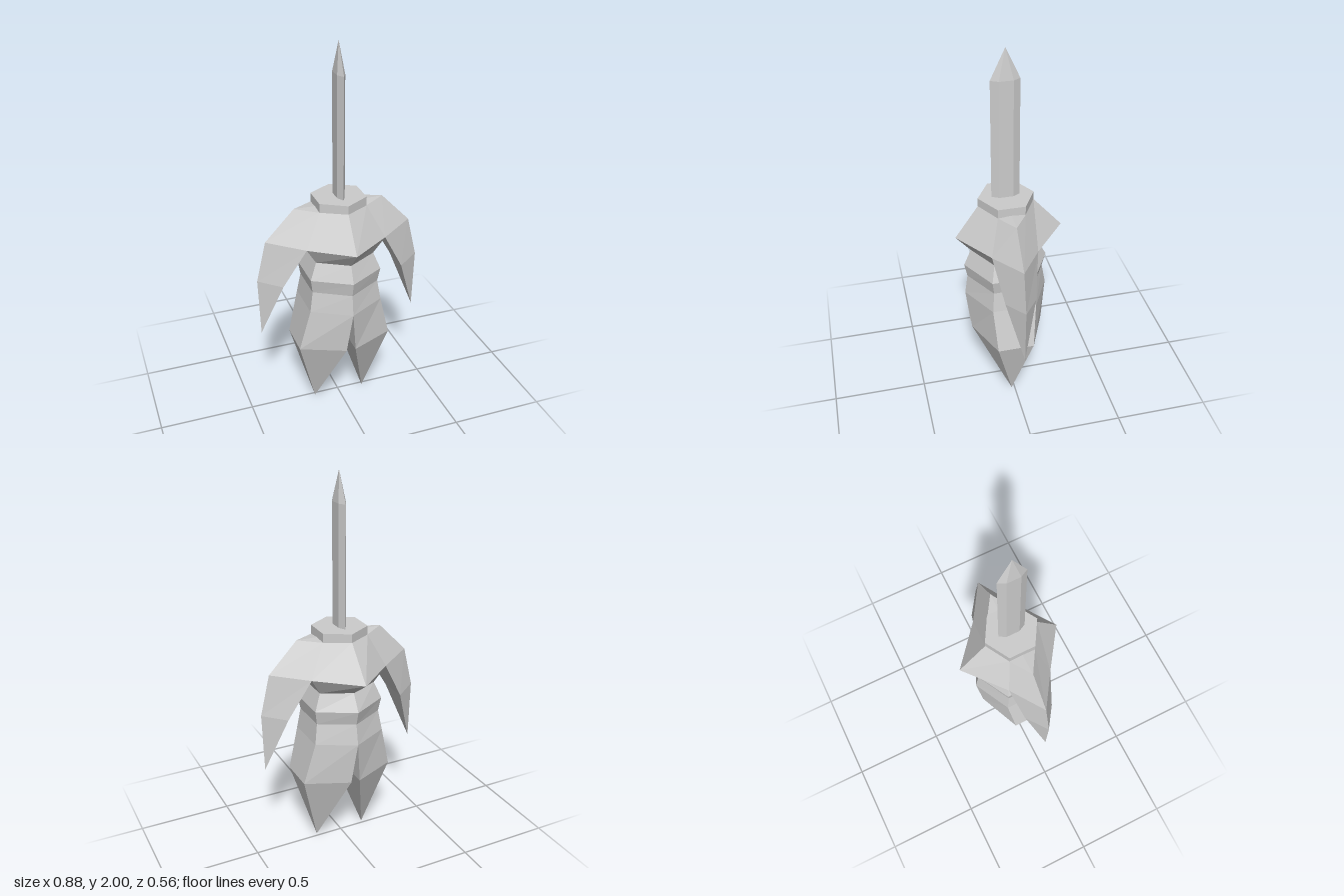
import * as THREE from 'three';

const MID = 0.017; // z of the model's side ridges

// Skin rings of [x, y, z] from bottom to top, each counterclockwise seen from above.
function loft(rings, material, name, lid = false) {
  const pos = [];
  const v = (p) => new THREE.Vector3(...p);
  const tri = (a, b, c) => {
    const area = v(b).sub(v(a)).cross(v(c).sub(v(a))).length();
    if (area > 1e-7) pos.push(...a, ...b, ...c);
  };
  for (let r = 0; r + 1 < rings.length; r++) {
    const lo = rings[r], hi = rings[r + 1];
    const n = Math.max(lo.length, hi.length);
    for (let i = 0; i < n; i++) {
      const j = (i + 1) % n;
      const a = lo[i % lo.length], b = lo[j % lo.length];
      const c = hi[j % hi.length], d = hi[i % hi.length];
      tri(a, b, c);
      tri(a, c, d);
    }
  }
  if (lid) {
    const top = rings[rings.length - 1], n = top.length;
    const mid = [0, 1, 2].map((k) => top.reduce((s, p) => s + p[k], 0) / n);
    top.forEach((p, i) => tri(p, top[(i + 1) % n], mid));
  }
  const geometry = new THREE.BufferGeometry();
  geometry.setAttribute('position', new THREE.Float32BufferAttribute(pos, 3));
  geometry.computeVertexNormals();
  const mesh = new THREE.Mesh(geometry, material);
  mesh.name = name;
  return mesh;
}

// Mirror a ring across x = 0, keeping its winding.
const flip = (ring) => ring.map(([x, y, z]) => [-x, y, z]).reverse();

// Half section on the +x side: front point, side edge pair, back point.
const half = (y, x, front, sideFront, sideBack, back, inner = 0) =>
  [[inner, y, front], [x, y, sideFront], [x, y, sideBack], [inner, y, back]];

// Full six-sided section.
const hex = (y, x, front, sideFront, sideBack, back) =>
  [...half(y, x, front, sideFront, sideBack, back), [-x, y, sideBack], [-x, y, sideFront]];

export function createModel() {
  const group = new THREE.Group();
  const grey = new THREE.MeshStandardMaterial({ color: 0xcccccc });
  grey.name = 'grey';

  // Waist, narrowing and swelling under the chest
  group.add(loft([
    hex(0.635, 0.195, 0.24, 0.13, -0.1, -0.2),
    hex(0.745, 0.178, 0.225, 0.12, -0.085, -0.18),
    hex(0.82, 0.19, 0.24, 0.13, -0.095, -0.2),
    hex(0.91, 0.155, 0.203, 0.112, -0.075, -0.15),
    hex(1.0, 0.21, 0.28, 0.135, -0.1, -0.277),
  ], grey, 'waist'));

  // Chest and shoulders
  group.add(loft([
    [[0, 1.0, 0.28], [0.21, 1.0, 0.135], [0.39, 1.02, MID], [0.21, 1.0, -0.1],
      [0, 1.0, -0.277], [-0.21, 1.0, -0.1], [-0.39, 1.02, MID], [-0.21, 1.0, 0.135]],
    [[0, 1.175, 0.16], [0.125, 1.172, 0.085], [0.237, 1.18, MID], [0.125, 1.172, -0.055],
      [0, 1.175, -0.127], [-0.125, 1.172, -0.055], [-0.237, 1.18, MID], [-0.125, 1.172, 0.085]],
  ], grey, 'chest', true));

  // Collar plate
  group.add(loft([
    hex(1.17, 0.125, 0.16, 0.085, -0.055, -0.127),
    hex(1.22, 0.125, 0.16, 0.085, -0.055, -0.127),
  ], grey, 'collar', true));

  // Blade rising from the collar
  group.add(loft([
    hex(1.17, 0.02, 0.09, 0.052, -0.018, -0.054),
    hex(1.845, 0.02, 0.09, 0.052, -0.018, -0.054),
    [[0, 2, MID]],
  ], grey, 'blade'));

  // Pointed arms and legs, mirrored
  const arm = [
    [[0.43, 0.49, MID]],
    [[0.325, 0.79, 0.095], [0.44, 0.805, MID], [0.325, 0.79, -0.063]],
    [[0.21, 1.0, 0.135], [0.39, 1.02, MID], [0.21, 1.0, -0.1]],
  ];
  const leg = [
    [[0.14, 0, MID]],
    half(0.405, 0.252, 0.213, 0.115, -0.077, -0.175, 0.025),
    half(0.635, 0.195, 0.24, 0.13, -0.1, -0.2),
  ];
  for (const [name, rings] of [['Arm', arm], ['Leg', leg]]) {
    group.add(loft(rings, grey, 'left' + name));
    group.add(loft(rings.map(flip), grey, 'right' + name));
  }
  return group;
}
